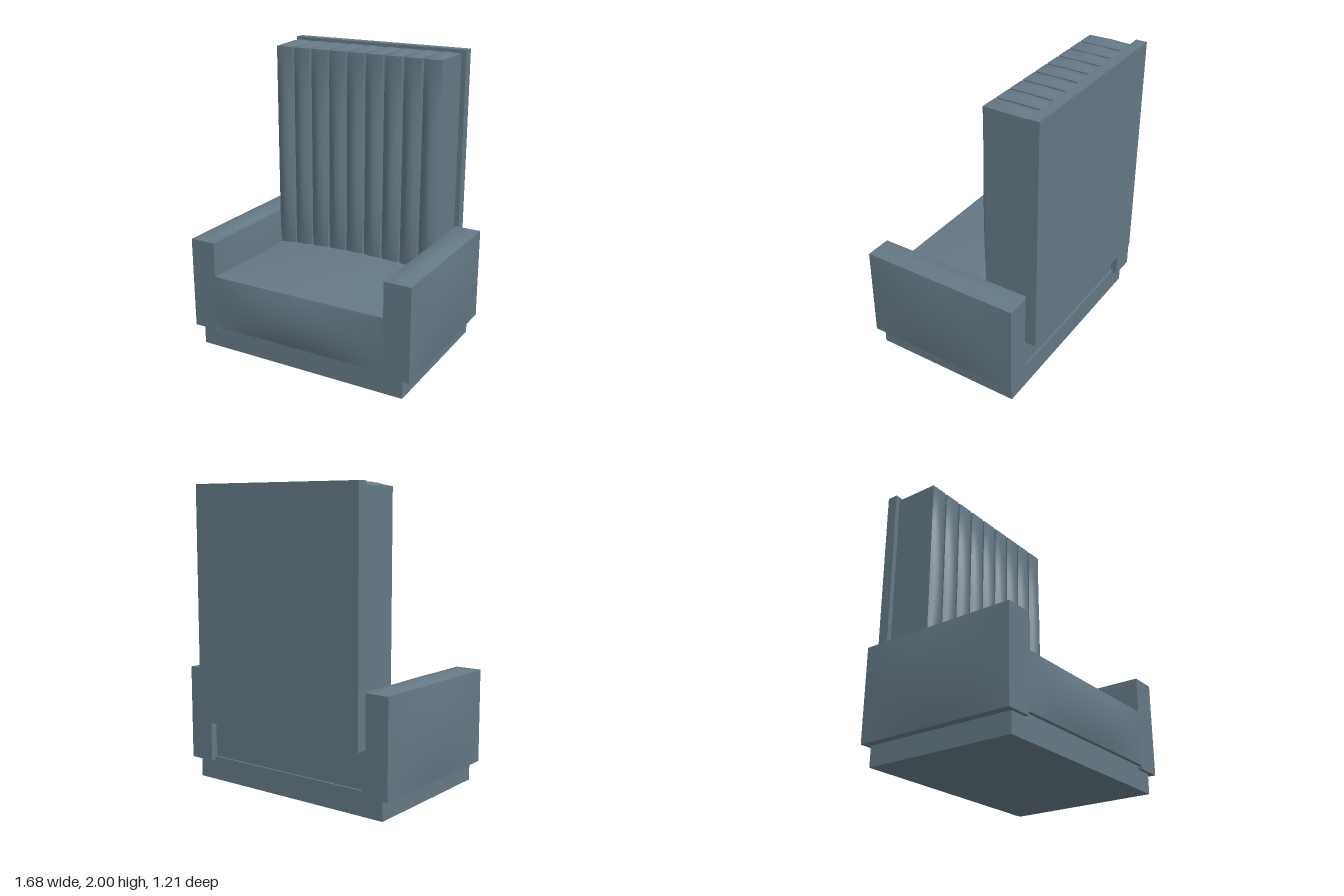
import * as THREE from 'three';

const slate = new THREE.MeshStandardMaterial({ color: 0x647885 });
slate.name = 'slateFabric';

// Box between two corners; each face listed in bulge (e.g. { '+y': 0.03 }) swells like padding
function paddedBox(name, min, max, bulge = {}, segments = [1, 1, 1]) {
  const size = max.map((v, i) => v - min[i]);
  const geometry = new THREE.BoxGeometry(...size, ...segments);
  const pos = geometry.attributes.position;
  const normal = geometry.attributes.normal;
  for (let i = 0; i < pos.count; i++) {
    const p = [pos.getX(i), pos.getY(i), pos.getZ(i)];
    const n = [normal.getX(i), normal.getY(i), normal.getZ(i)];
    const axis = n.findIndex((v) => Math.abs(v) > 0.5);
    const amount = bulge[(n[axis] > 0 ? '+' : '-') + 'xyz'[axis]] || 0;
    let swell = amount;
    for (let a = 0; a < 3; a++) {
      if (a !== axis) swell *= 1 - (2 * p[a] / size[a]) ** 2;
    }
    p[axis] += n[axis] * swell;
    pos.setXYZ(i, ...p);
  }
  geometry.computeVertexNormals();
  const mesh = new THREE.Mesh(geometry, slate);
  mesh.name = name;
  mesh.position.set(...min.map((v, i) => (v + max[i]) / 2));
  return mesh;
}

export function createModel() {
  const chair = new THREE.Group();
  chair.name = 'armchair';

  // Plinth and seat cushion
  chair.add(paddedBox('base', [-0.76, 0, -0.5], [0.76, 0.16, 0.55]));
  chair.add(paddedBox('seat', [-0.632, 0.16, -0.485], [0.632, 0.53, 0.575],
    { '+y': 0.043, '+z': 0.032 }, [12, 10, 12]));

  // Armrests, padded on the top and both sides
  const armBulge = { '+x': 0.025, '-x': 0.025, '+y': 0.025 };
  chair.add(paddedBox('leftArm', [0.632, 0.135, -0.53], [0.815, 0.77, 0.575], armBulge, [4, 10, 12]));
  chair.add(paddedBox('rightArm', [-0.815, 0.135, -0.53], [-0.632, 0.77, 0.575], armBulge, [4, 10, 12]));

  // Back panel
  chair.add(paddedBox('backPanel', [-0.655, 0.425, -0.605], [0.655, 2, -0.53]));

  // Row of upright padded channels on the backrest
  const channels = new THREE.Group();
  channels.name = 'backrestChannels';
  const count = 9, pitch = 0.1395, half = 0.0625;
  for (let i = 0; i < count; i++) {
    const x = (i - (count - 1) / 2) * pitch;
    channels.add(paddedBox('channel' + (i + 1), [x - half, 0.48, -0.53], [x + half, 1.975, -0.215],
      { '+z': 0.037, '+y': 0.025 }, [6, 14, 4]));
  }
  chair.add(channels);

  return chair;
}
